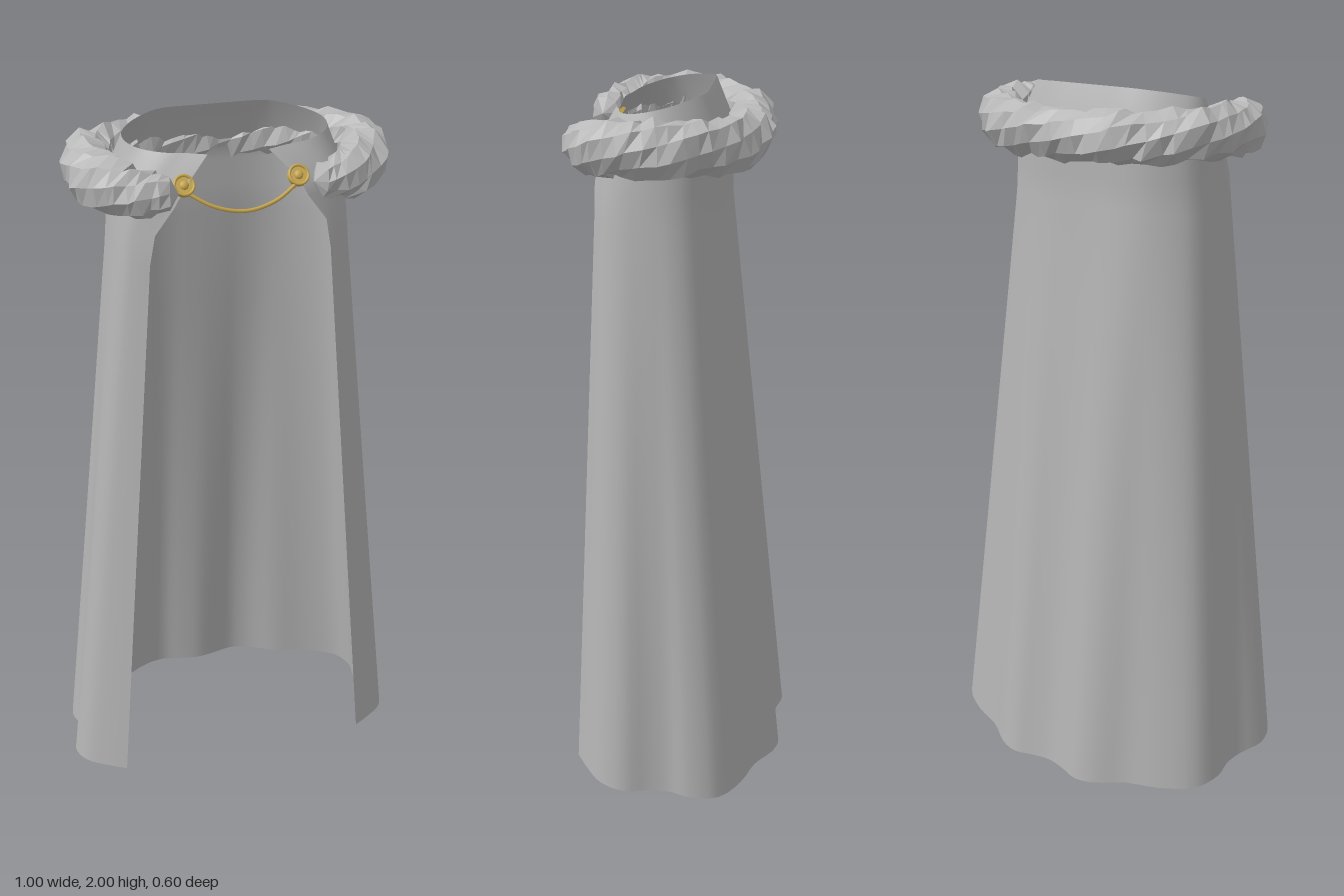
import * as THREE from 'three';

const cloth = new THREE.MeshStandardMaterial({ color: 0xb4b4b4, side: THREE.DoubleSide });
cloth.name = 'grey cloth';
const furGrey = new THREE.MeshStandardMaterial({ color: 0xb8b8b8 });
furGrey.name = 'grey fur';
const gold = new THREE.MeshStandardMaterial({ color: 0xc9a850 });
gold.name = 'gold';

// Seeded random numbers for the fur
function seeded(seed) {
  return () => {
    seed = (seed * 16807) % 2147483647;
    return seed / 2147483647;
  };
}

// Grid surface: point(i, j) with i along and j across
function grid(cols, rows, point, closed = false) {
  const pos = [], index = [];
  const id = (i, j) => i * (rows + 1) + (closed ? j % rows : j);
  for (let i = 0; i <= cols; i++)
    for (let j = 0; j <= rows; j++) pos.push(...point(i, j).toArray());
  for (let i = 0; i < cols; i++)
    for (let j = 0; j < rows; j++) {
      const a = id(i, j), b = id(i + 1, j), c = id(i + 1, j + 1), d = id(i, j + 1);
      index.push(a, b, c, a, c, d);
    }
  const g = new THREE.BufferGeometry();
  g.setAttribute('position', new THREE.Float32BufferAttribute(pos, 3));
  g.setIndex(index);
  g.computeVertexNormals();
  return g;
}

// Half outline [x, z] from back centre to front edge -> full curve, left front to right front
function outline(half, yOf) {
  const left = half.map(([x, z]) => new THREE.Vector3(x, yOf(z), z));
  const right = left.slice(1).map(p => new THREE.Vector3(-p.x, p.y, p.z));
  return new THREE.CatmullRomCurve3([...left.reverse(), ...right]);
}

// Cape outlines at the hem, shoulder and neck rim
const hem = [[0, -.275], [.06, -.285], [.12, -.3], [.18, -.285], [.26, -.235], [.36, -.2], [.45, -.14],
  [.475, -.06], [.465, 0], [.475, .06], [.5, .13], [.48, .2], [.43, .245], [.37, .285]];
const shoulder = [[0, -.12], [.05, -.12], [.1, -.12], [.155, -.115], [.21, -.1], [.26, -.07], [.3, -.03],
  [.318, .01], [.324, .05], [.324, .09], [.318, .14], [.3, .18], [.275, .2], [.243, .218]];
const rim = [[0, -.07], [.05, -.07], [.1, -.07], [.15, -.065], [.19, -.045], [.23, -.015], [.26, .02],
  [.272, .05], [.27, .08], [.255, .11], [.225, .135], [.18, .155], [.13, .165], [.08, .18]];

// Shoulder outline with the front edges drawn inward
const drawIn = (scale, d) => shoulder.map(([x, z], i) =>
  [x * scale - d * Math.max(0, (i - 8) / 5) ** 2, z]);

function makeCape() {
  const low = outline(hem, z => 0.041 + 0.137 * z);
  const high = outline(shoulder, () => 1.68);
  const upper = [
    outline(drawIn(0.98, 0.01), () => 1.76),
    outline(drawIn(0.97, 0.06), () => 1.83),
    outline(drawIn(0.96, 0.085), () => 1.88),
    outline(rim, z => 1.985 - 0.21 * z),
  ];
  const straight = 6, cols = 78;
  return grid(cols, straight + upper.length, (i, j) => {
    const t = i / cols;
    if (j > straight) return upper[j - straight - 1].getPoint(t);
    return low.getPoint(t).lerp(high.getPoint(t), j / straight);
  });
}

// Rough, faceted fur roll around the shoulders
function makeFur() {
  const half = [[0, -.175], [.12, -.17], [.24, -.13], [.33, -.055], [.365, .04], [.355, .13], [.31, .2],
    [.25, .24], [.175, .26]];
  const path = outline(half, z => 1.885 + 0.012 * Math.cos((z - 0.04) * 9));
  const rand = seeded(77), cols = 56, sides = 9;
  const up = new THREE.Vector3(0, 1, 0);
  const g = grid(cols, sides, (i, j) => {
    const t = i / cols;
    const tangent = path.getTangent(t);
    const out = tangent.clone().cross(up).normalize();
    const end = Math.min(i, cols - i);
    const size = end === 0 ? 0 : Math.min(1, 0.58 + end * 0.06);
    const shift = i === 1 ? 0 : (rand() - 0.5) * 0.02;
    const r = size * (0.057 + 0.018 * rand());
    const a = (j / sides) * Math.PI * 2 + i * 0.12;
    return path.getPoint(end === 0 ? t : Math.min(1, Math.max(0, t)))
      .addScaledVector(out, Math.cos(a) * r)
      .addScaledVector(up, Math.sin(a) * r * 1.08)
      .addScaledVector(tangent, end < 2 ? 0 : shift);
  }, true).toNonIndexed();
  g.computeVertexNormals();
  return g;
}

export function createModel() {
  const model = new THREE.Group();
  model.name = 'cape';
  const add = (name, geometry, material, parent = model) => {
    const mesh = new THREE.Mesh(geometry, material);
    mesh.name = name;
    parent.add(mesh);
    return mesh;
  };

  add('capeCloth', makeCape(), cloth);
  add('furCollar', makeFur(), furGrey);

  // Round clasps on both front edges
  for (const side of [1, -1]) {
    const clasp = new THREE.Group();
    clasp.name = side > 0 ? 'leftClasp' : 'rightClasp';
    clasp.position.set(side * 0.15, 1.882, 0.21);
    clasp.rotation.x = 0.95;
    add('claspDisc', new THREE.CylinderGeometry(0.028, 0.028, 0.012, 20), gold, clasp);
    const rimRing = add('claspRim', new THREE.TorusGeometry(0.025, 0.004, 6, 20), gold, clasp);
    rimRing.rotation.x = Math.PI / 2;
    rimRing.position.y = 0.006;
    const stud = add('claspStud', new THREE.SphereGeometry(0.012, 12, 8), gold, clasp);
    stud.scale.y = 0.6;
    stud.position.y = 0.006;
    model.add(clasp);
  }

  // Hanging cord between the clasps
  const cord = new THREE.CatmullRomCurve3([[-.15, 1.87, .22], [-.08, 1.833, .245], [0, 1.817, .253],
    [.08, 1.833, .245], [.15, 1.87, .22]].map(p => new THREE.Vector3(...p)));
  add('neckCord', new THREE.TubeGeometry(cord, 32, 0.005, 6), gold);

  return model;
}
